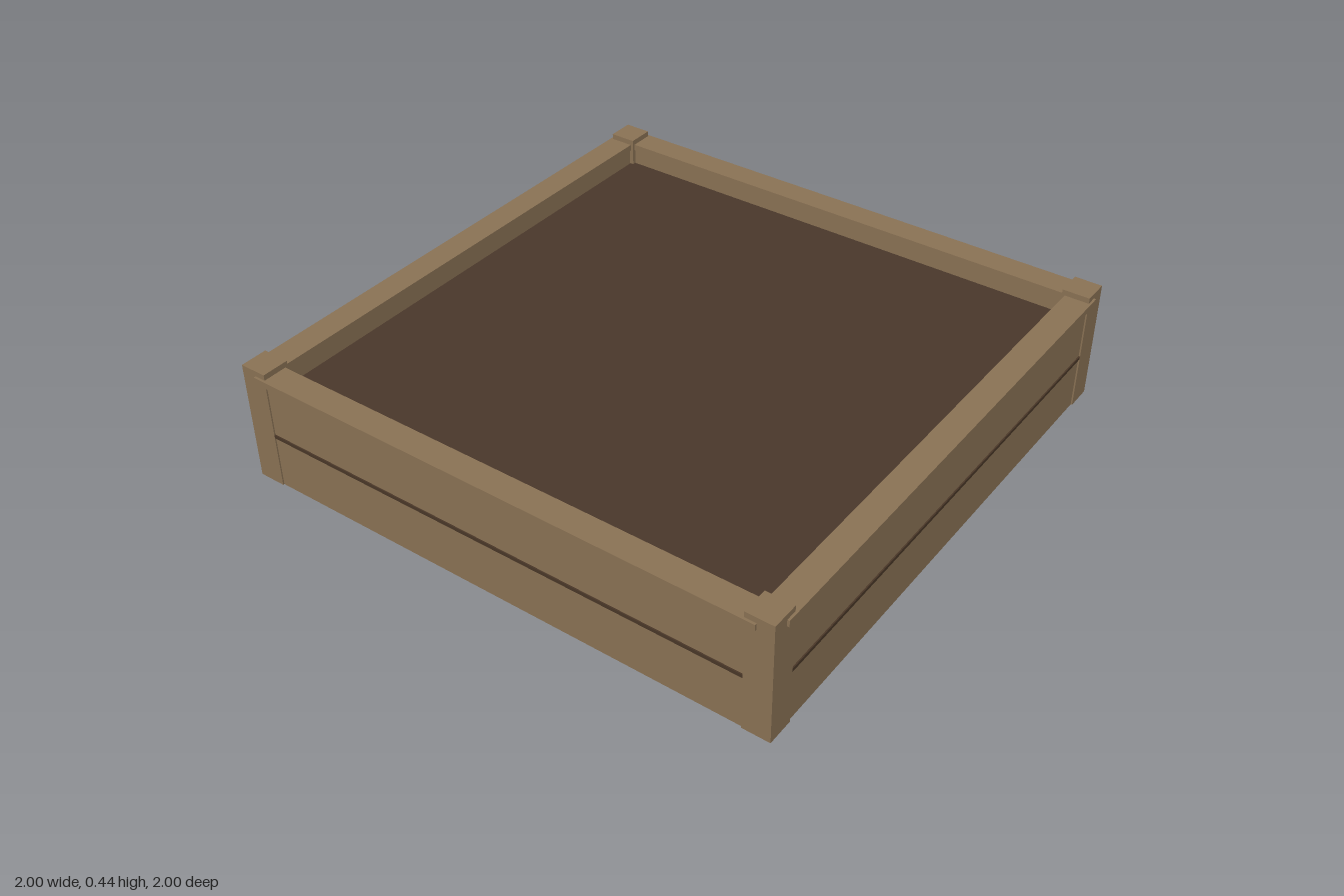
import * as THREE from 'three';

export function createModel() {
  const model = new THREE.Group();
  model.name = 'planterBox';

  const wood = new THREE.MeshStandardMaterial({ color: 0x8b7355 });
  wood.name = 'wood';
  const soil = new THREE.MeshStandardMaterial({ color: 0x4a382b });
  soil.name = 'soil';
  const gap = new THREE.MeshStandardMaterial({ color: 0x4a3728 });
  gap.name = 'plankGap';

  // Box spanning y0..y1, centred on x and z
  const box = (name, parent, material, [w, d], [y0, y1], x, z) => {
    const mesh = new THREE.Mesh(new THREE.BoxGeometry(w, y1 - y0, d), material);
    mesh.name = name;
    mesh.position.set(x, (y0 + y1) / 2, z);
    parent.add(mesh);
    return mesh;
  };

  // Earth filling the frame
  box('soilBed', model, soil, [1.815, 1.815], [0.001, 0.337], 0, 0);

  // Four identical sides, each turned a quarter further
  ['front', 'left', 'back', 'right'].forEach((side, i) => {
    const group = new THREE.Group();
    group.name = side + 'Side';
    group.rotation.y = (i * Math.PI) / 2;
    model.add(group);

    // Plank wall with the dark gap between its two boards
    box('plankWall', group, wood, [1.82, 0.077], [0, 0.4], 0, 0.9485);
    box('plankGapLine', group, gap, [1.795, 0.006], [0.191, 0.203], 0, 0.9885);

    // Cap rail, slightly wider than the wall and let into the posts
    box('capRail', group, wood, [1.87, 0.095], [0.393, 0.416], 0, 0.9525);

    // Corner post standing just above the rails
    box('cornerPost', group, wood, [0.097, 0.097], [0, 0.436], 0.9435, 0.9435);
  });

  return model;
}
